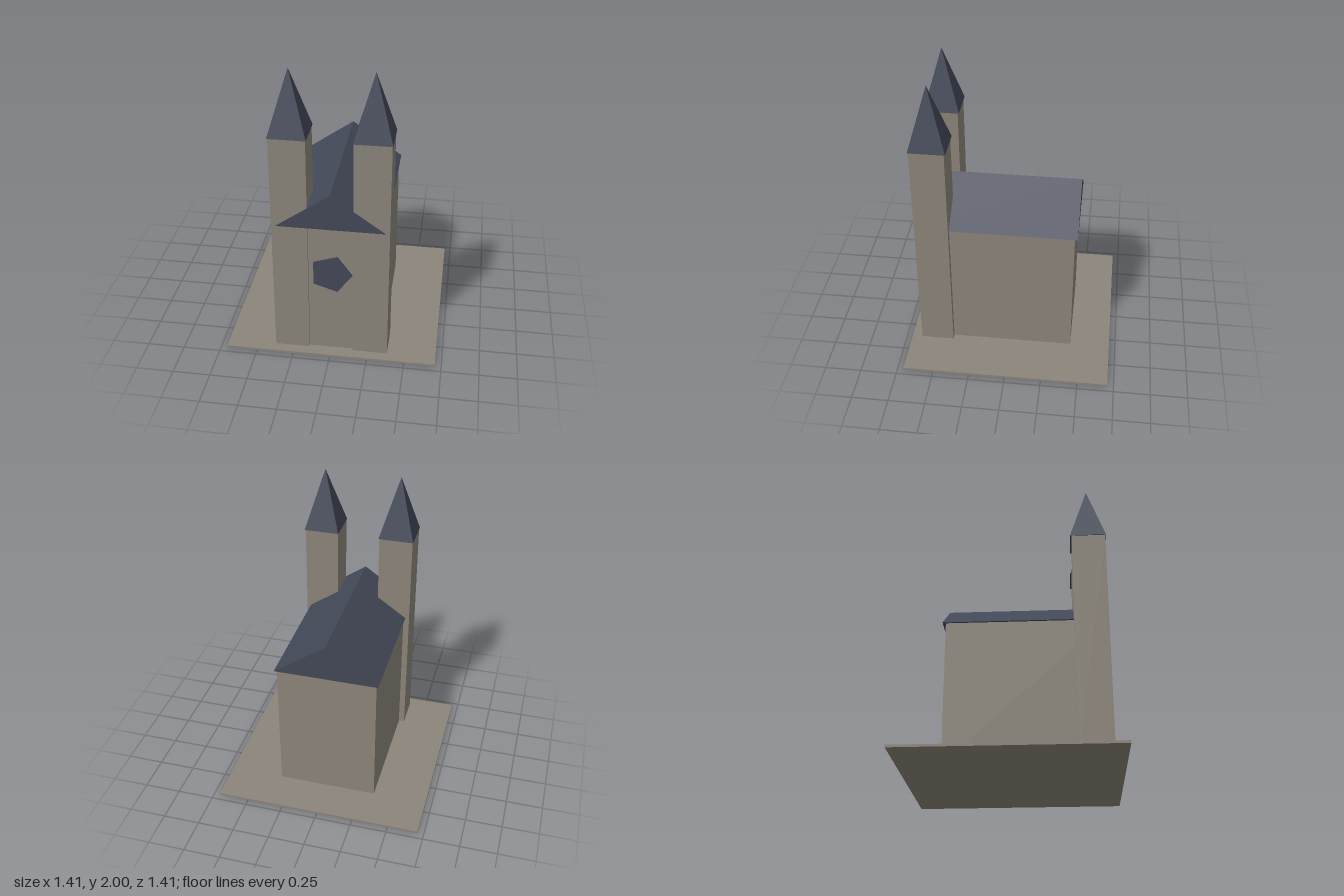
import * as THREE from 'three';

export function createModel() {
  const group = new THREE.Group();
  const stone = new THREE.MeshStandardMaterial({ name: 'stone', color: 0x8c857a });
  const slate = new THREE.MeshStandardMaterial({ name: 'slate', color: 0x434858 });

  const add = (name, geometry, material, x, y, z) => {
    const mesh = new THREE.Mesh(geometry, material);
    mesh.name = name;
    mesh.position.set(x, y, z);
    group.add(mesh);
    return mesh;
  };
  // Box standing on height y
  const block = (name, w, h, d, x, y, z) =>
    add(name, new THREE.BoxGeometry(w, h, d), stone, x, y + h / 2, z);

  const naveZ = 0.095;
  const wallTop = 0.965;

  // Ground slab and main hall
  block('plinth', 1.414, 0.016, 1.414, 0, 0, 0);
  block('nave', 0.68, wallTop - 0.01, 1.05, 0, 0.01, naveZ);

  // Gabled roof: a triangular prism with a small overhang
  const gable = new THREE.Shape([
    new THREE.Vector2(-0.354, 0),
    new THREE.Vector2(0.354, 0),
    new THREE.Vector2(0, 0.248),
  ]);
  const roof = new THREE.ExtrudeGeometry(gable, { depth: 1.09, bevelEnabled: false });
  roof.translate(0, 0, -0.545);
  add('naveRoof', roof, slate, 0, wallTop, naveZ);

  // Five-sided window with one corner pointing to +x
  const rose = new THREE.CylinderGeometry(0.141, 0.141, 0.018, 5).toNonIndexed();
  rose.rotateX(Math.PI / 2);
  rose.rotateZ(Math.PI / 2);
  rose.computeVertexNormals();
  add('roseWindow', rose, slate, 0, 0.62, 0.622);

  // Twin towers with four-sided spires
  const spire = new THREE.ConeGeometry(0.243 / Math.SQRT2, 0.42, 4).toNonIndexed();
  spire.rotateY(Math.PI / 4);
  spire.computeVertexNormals();
  for (const [side, s] of [['left', 1], ['right', -1]]) {
    block(side + 'Tower', 0.233, 1.57, 0.228, s * 0.264, 0.01, 0.523);
    add(side + 'Spire', spire, slate, s * 0.264, 1.79, 0.521);
  }
  return group;
}
